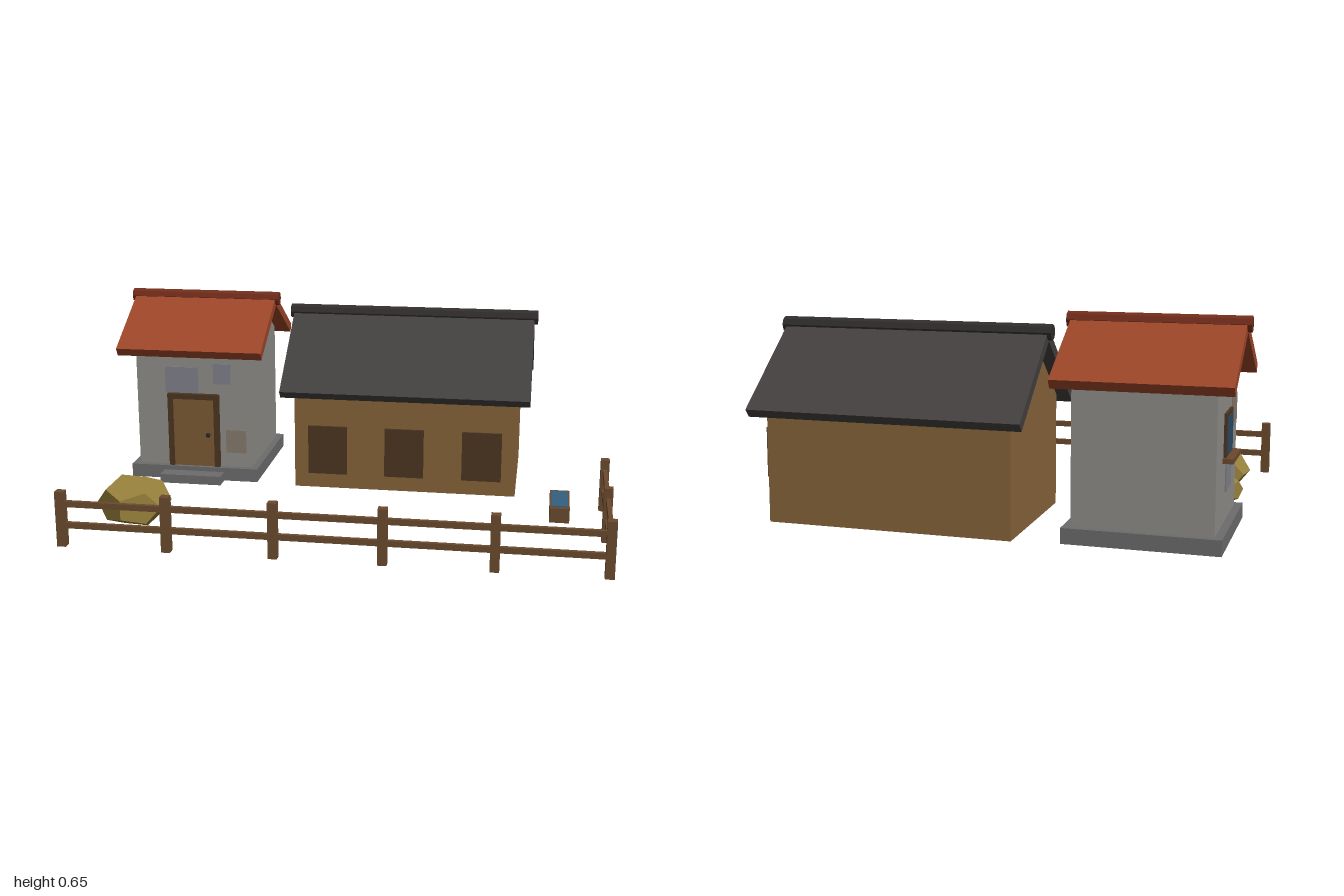
import * as THREE from 'three';

const BASE = 0.025;
const mat = (color, extra = {}) =>
  new THREE.MeshStandardMaterial({ color, flatShading: true, ...extra });
const M = {
  timber: mat(0x86633a, { side: THREE.DoubleSide }),
  plaster: mat(0x8f8d88), plinth: mat(0x6c6c6c),
  redRoof: mat(0x9c4528), redRidge: mat(0x712c1a),
  darkRoof: mat(0x43403e), darkRidge: mat(0x302d2c),
  wood: mat(0x6b4a2e), darkWood: mat(0x4c3621), door: mat(0x7a5a34),
  glass: mat(0x2c4a66), water: mat(0x33607f), iron: mat(0x2a2622),
  blueStone: mat(0x7f808a), tanStone: mat(0x85796c), bush: mat(0x97803c),
};

function add(parent, name, geo, material, x = 0, y = 0, z = 0) {
  const m = new THREE.Mesh(geo, material);
  m.name = name;
  m.position.set(x, y, z);
  parent.add(m);
  return m;
}
// box placed by its bottom centre
const box = (p, name, material, w, h, d, x, y, z) =>
  add(p, name, new THREE.BoxGeometry(w, h, d), material, x, y + h / 2, z);

// outline in the (z, y) plane, extruded along x and centred
function prism(points, length) {
  const s = new THREE.Shape(points.map(([a, b]) => new THREE.Vector2(a, b)));
  return new THREE.ExtrudeGeometry(s, { depth: length, bevelEnabled: false })
    .translate(0, 0, -length / 2).rotateY(Math.PI / 2);
}

// pitched roof with walls, gable triangles, two slopes and a ridge roll
function shell(g, o) {
  const { halfX, halfZ, roofX, roofZ, peak, slope, thick } = o;
  const c = Math.cos(Math.atan(slope)), s = Math.sin(Math.atan(slope));
  const under = peak - thick / c;
  const wallTop = under - halfZ * slope;
  const walls = new THREE.BoxGeometry(halfX * 2, wallTop - o.floor, halfZ * 2);
  // leave the underside open
  const idx = Array.from(walls.index.array);
  idx.splice(18, 6);
  walls.setIndex(idx);
  add(g, 'walls', walls, o.wall, 0, (wallTop + o.floor) / 2, 0);
  add(g, 'gables', prism([[-halfZ, wallTop], [halfZ, wallTop], [0, under]], halfX * 2), o.wall);

  const eave = peak - roofZ * slope;
  const inZ = roofZ - thick * s, inY = eave - thick * c;
  add(g, 'roof', prism([[0, under], [inZ, inY], [roofZ, eave], [0, peak],
    [-roofZ, eave], [-inZ, inY]], roofX * 2), o.roof);
  const ridge = new THREE.CylinderGeometry(o.ridgeR, o.ridgeR, roofX * 2 + 0.024, 8).rotateZ(Math.PI / 2);
  add(g, 'ridge', ridge, o.ridge, 0, peak - 0.012, 0);
}

function makeBarn() {
  const g = new THREE.Group();
  g.name = 'barn';
  g.position.set(0.176, 0, -0.365);
  shell(g, { halfX: 0.369, halfZ: 0.237, roofX: 0.41, roofZ: 0.289, peak: 0.595, slope: 0.8,
    thick: 0.03, floor: BASE, ridgeR: 0.024, wall: M.timber, roof: M.darkRoof, ridge: M.darkRidge });
  for (const i of [-1, 0, 1])
    box(g, 'stallOpening', M.darkWood, 0.13, 0.165, 0.016, i * 0.257, 0.075, 0.237);
  return g;
}

function makeCottage() {
  const g = new THREE.Group();
  g.name = 'cottage';
  g.position.set(-0.55, 0, -0.364);
  const H = 0.198;
  shell(g, { halfX: H, halfZ: H, roofX: 0.248, roofZ: 0.257, peak: 0.635, slope: 0.59,
    thick: 0.03, floor: 0.06, ridgeR: 0.023, wall: M.plaster, roof: M.redRoof, ridge: M.redRidge });
  box(g, 'plinth', M.plinth, 0.442, 0.045, 0.442, 0, BASE, 0);
  box(g, 'doorStep', M.plinth, 0.21, 0.03, 0.08, 0, BASE, 0.235);

  // door with frame and knob
  for (const side of [-1, 1])
    box(g, 'doorJamb', M.darkWood, 0.018, 0.25, 0.024, side * 0.08, 0.07, H + 0.004);
  box(g, 'doorLintel', M.darkWood, 0.178, 0.018, 0.026, 0, 0.306, H + 0.004);
  box(g, 'door', M.door, 0.145, 0.238, 0.014, 0, 0.07, H + 0.003);
  add(g, 'doorKnob', new THREE.IcosahedronGeometry(0.009, 0), M.iron, 0.05, 0.182, H + 0.014);

  // gable window
  box(g, 'windowFrame', M.darkWood, 0.016, 0.128, 0.13, -H, 0.255, 0);
  box(g, 'windowGlass', M.glass, 0.02, 0.104, 0.1, -H, 0.267, 0);
  box(g, 'windowSill', M.wood, 0.04, 0.014, 0.16, -H - 0.01, 0.247, 0);

  // exposed stones: position along wall, bottom, width, height
  const front = [[-0.04, 0.325, 0.115, 0.09], [0.1, 0.36, 0.06, 0.07], [0.145, 0.12, 0.07, 0.08]];
  const side = [[0.03, 0.155, 0.1, 0.085], [0.13, 0.33, 0.09, 0.08]];
  front.forEach(([a, y, w, h], i) =>
    box(g, 'wallStone', i === 2 ? M.tanStone : M.blueStone, w, h, 0.008, a, y, H));
  side.forEach(([a, y, w, h], i) =>
    box(g, 'wallStone', i ? M.tanStone : M.blueStone, 0.008, h, w, -H, y, a));
  return g;
}

function makeFence() {
  const g = new THREE.Group();
  g.name = 'fence';
  const x0 = -0.766, x1 = 0.828, z0 = -0.042, z1 = 0.526;
  const post = (x, z) => box(g, 'fencePost', M.wood, 0.027, 0.17, 0.027, x, BASE, z);
  for (let i = 0; i < 6; i++) post(x0 + (x1 - x0) * i / 5, z1);
  for (let i = 0; i < 2; i++) post(x1, z0 + (z1 - z0) * i / 2);
  for (const y of [0.081, 0.147]) {
    box(g, 'longRail', M.wood, x1 - x0, 0.018, 0.013, (x0 + x1) / 2, y, z1);
    box(g, 'shortRail', M.wood, 0.013, 0.018, z1 - z0, x1, y, (z0 + z1) / 2);
  }
  return g;
}

function makeTrough() {
  const g = new THREE.Group();
  g.name = 'trough';
  g.position.set(0.69, 0, 0.012);
  box(g, 'troughBody', M.wood, 0.062, 0.047, 0.18, 0, BASE, 0);
  box(g, 'troughWater', M.water, 0.052, 0.006, 0.148, 0, 0.069, 0);
  return g;
}

export function createModel() {
  const model = new THREE.Group();
  model.name = 'farmstead';

  // the whole yard stands turned by 30 degrees
  const yard = new THREE.Group();
  yard.name = 'yard';
  yard.rotation.y = Math.PI / 6;
  yard.add(makeBarn(), makeCottage(), makeFence(), makeTrough());
  model.add(yard);

  // faceted bushes
  for (const [x, y, z, r, turn] of [[-0.42, 0.08, 0.535, 0.115, 0.4], [-0.525, 0.05, 0.44, 0.066, 1.1]]) {
    const b = add(model, 'bush', new THREE.DodecahedronGeometry(r, 0), M.bush, x, y, z);
    b.scale.y = 0.75;
    b.rotation.y = turn;
  }
  return model;
}
